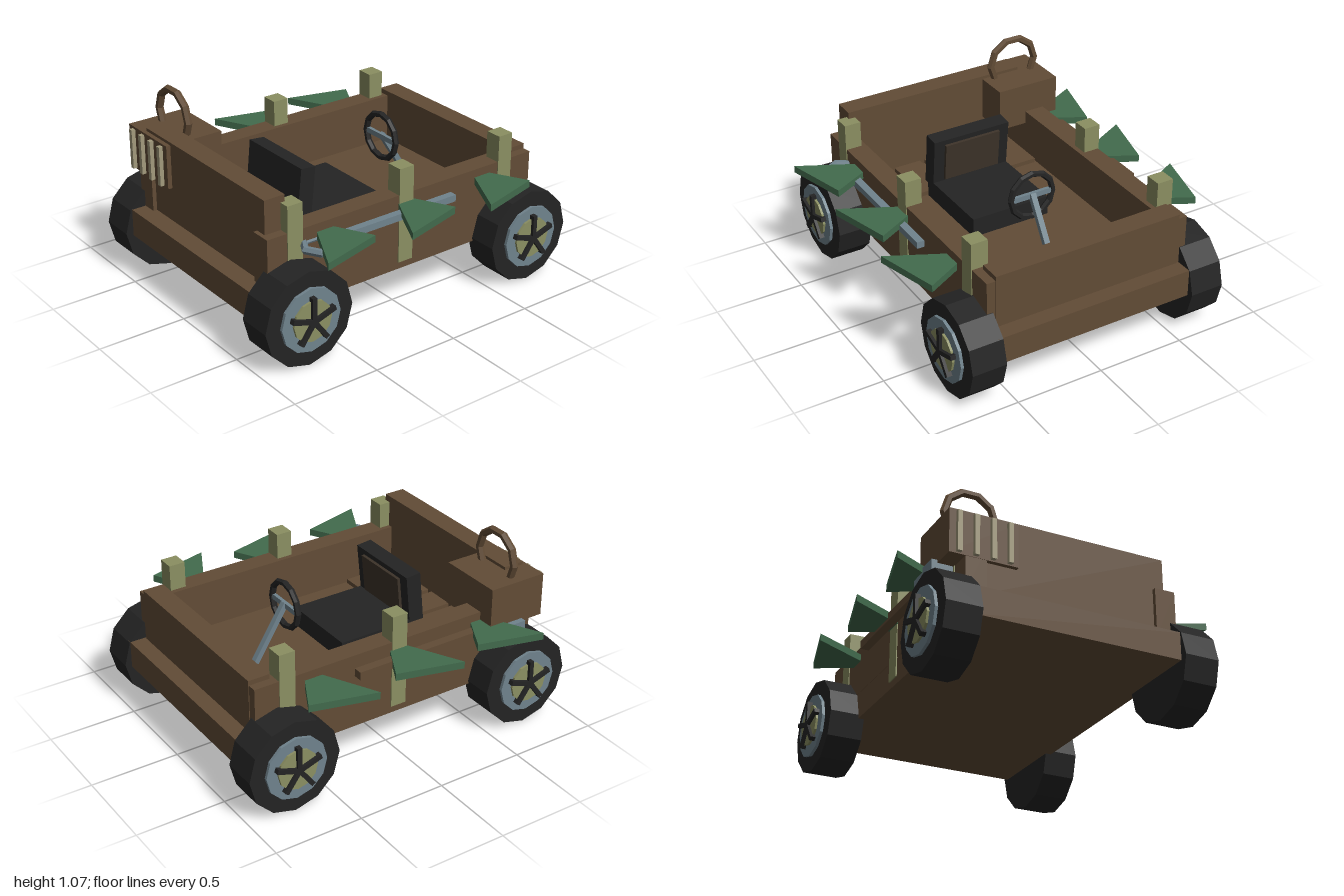
import * as THREE from 'three';

const mat = (name, color) => {
  const m = new THREE.MeshStandardMaterial({ color });
  m.name = name;
  m.flatShading = true;
  return m;
};

export function createModel() {
  const wood = mat('brown wood', 0x624c36);
  const black = mat('black rubber', 0x242424);
  const steel = mat('blue grey metal', 0x70838d);
  const olive = mat('olive', 0x8b8f62);
  const green = mat('green', 0x426b4d);
  const beige = mat('beige', 0xa29a7c);
  const darkWood = mat('dark brown', 0x3d3329);

  const model = new THREE.Group();
  model.name = 'buggy';

  const add = (parent, name, geometry, material, x = 0, y = 0, z = 0) => {
    const mesh = new THREE.Mesh(geometry, material);
    mesh.name = name;
    mesh.position.set(x, y, z);
    parent.add(mesh);
    return mesh;
  };
  // Box given by its lower and upper corners
  const box = (parent, name, material, [x0, y0, z0], [x1, y1, z1]) =>
    add(parent, name, new THREE.BoxGeometry(x1 - x0, y1 - y0, z1 - z0), material,
      (x0 + x1) / 2, (y0 + y1) / 2, (z0 + z1) / 2);

  // Open wooden body
  box(model, 'chassis', wood, [-0.598, 0.245, -0.96], [0.598, 0.4, 0.955]);
  box(model, 'frontWall', wood, [-0.548, 0.4, 0.725], [0.548, 0.86, 0.847]);
  box(model, 'rearWall', wood, [-0.55, 0.4, -0.868], [0.55, 0.7, -0.746]);
  for (const s of [-1, 1]) {
    const wall = box(model, 'sideWall', wood, [0.483, 0.395, -0.864], [0.6, 0.673, 0.87]);
    wall.position.x *= s;
  }
  for (let i = -2; i <= 2; i++) {
    box(model, 'floorBoard', wood, [i * 0.195 - 0.082, 0.4, 0.405], [i * 0.195 + 0.082, 0.425, 0.726]);
  }

  // Posts and leaf-shaped side fins
  const finShape = new THREE.Shape([
    new THREE.Vector2(0.5, 0), new THREE.Vector2(0.895, -0.2), new THREE.Vector2(0.8, 0.16),
  ]);
  const mirrored = new THREE.Shape(finShape.getPoints().map(p => new THREE.Vector2(-p.x, p.y)));
  for (const s of [-1, 1]) {
    for (const z of [0.705, 0.002, -0.677]) {
      box(model, 'post', olive, [s * 0.5575 - 0.0475, 0.285, z - 0.046], [s * 0.5575 + 0.0475, 0.822, z + 0.046]);
    }
    for (const z of [-0.52, 0, 0.52]) {
      const geo = new THREE.ExtrudeGeometry(s > 0 ? finShape : mirrored, { depth: 0.04, bevelEnabled: false });
      geo.rotateX(-Math.PI / 2);
      add(model, 'fin', geo, green, 0, 0.587, z);
    }
  }

  // Wheels, built along +x and turned round for the other side
  const disc = (r, x0, x1) => {
    const g = new THREE.CylinderGeometry(r, r, x1 - x0, 12);
    g.rotateZ(-Math.PI / 2);
    g.translate((x0 + x1) / 2, 0, 0);
    return g;
  };
  for (const s of [-1, 1]) {
    for (const z of [-0.735, 0.735]) {
      const wheel = new THREE.Group();
      wheel.name = 'wheel';
      wheel.position.set(0, 0.264, z);
      if (s < 0) wheel.rotation.y = Math.PI;
      add(wheel, 'tyre', disc(0.264, 0.565, 0.76), black);
      add(wheel, 'rim', disc(0.178, 0.75, 0.777), steel);
      add(wheel, 'hub', disc(0.115, 0.77, 0.79), olive);
      for (let i = 0; i < 5; i++) {
        const g = new THREE.BoxGeometry(0.03, 0.135, 0.026);
        g.translate(0.792, 0.0675, 0);
        g.rotateX(i * Math.PI * 2 / 5);
        add(wheel, 'spoke', g, black);
      }
      model.add(wheel);
    }
  }

  // Seat
  box(model, 'seatCushion', black, [-0.235, 0.4, 0.33 - 0.435], [0.235, 0.51, 0.4]);
  const back = new THREE.Group();
  back.name = 'seatBack';
  back.position.set(0, 0.48, 0.385);
  back.rotation.x = -0.1;
  box(back, 'backrest', black, [-0.235, 0, -0.045], [0.235, 0.302, 0.045]);
  box(back, 'backPad', darkWood, [-0.17, 0.05, -0.062], [0.17, 0.272, -0.04]);
  model.add(back);

  // Steering wheel and column
  add(model, 'steeringWheel', new THREE.TorusGeometry(0.128, 0.018, 6, 12), black, 0, 0.7, -0.312);
  box(model, 'steeringBar', steel, [-0.12, 0.685, -0.322], [0.12, 0.715, -0.302]);
  const from = new THREE.Vector3(0, 0.4, -0.51), to = new THREE.Vector3(0, 0.71, -0.315);
  const column = add(model, 'steeringColumn', new THREE.BoxGeometry(0.032, from.distanceTo(to), 0.03), steel);
  column.position.addVectors(from, to).multiplyScalar(0.5);
  column.rotation.x = Math.atan2(to.z - from.z, to.y - from.y);

  // Crate with slats and a carrying handle
  box(model, 'crate', wood, [-0.69, 0.597, 0.53], [-0.31, 0.843, 0.872]);
  for (let i = 0; i < 4; i++) {
    const x = -0.64 + i * 0.0933;
    box(model, 'crateSlat', beige, [x - 0.013, 0.605, 0.865], [x + 0.013, 0.83, 0.895]);
  }
  const arc = new THREE.TorusGeometry(0.145, 0.022, 6, 7, Math.PI * 1.4);
  arc.rotateZ(-Math.PI * 0.2);
  add(model, 'crateHandle', arc, wood, -0.5, 0.915, 0.705);

  // Shovel on one side
  box(model, 'shovelHandle', wood, [-0.675, 0.57, -0.29], [-0.625, 0.615, 0.55]);
  box(model, 'shovelBlade', steel, [-0.722, 0.55, 0.53], [-0.59, 0.613, 0.74]);

  // Wrench on the other side
  box(model, 'wrenchHandle', steel, [0.626, 0.57, -0.28], [0.668, 0.608, 0.53]);
  const ring = new THREE.TorusGeometry(0.085, 0.022, 6, 6);
  ring.rotateX(Math.PI / 2);
  ring.rotateY(Math.PI / 6);
  add(model, 'wrenchHead', ring, steel, 0.66, 0.588, 0.6);

  return model;
}
